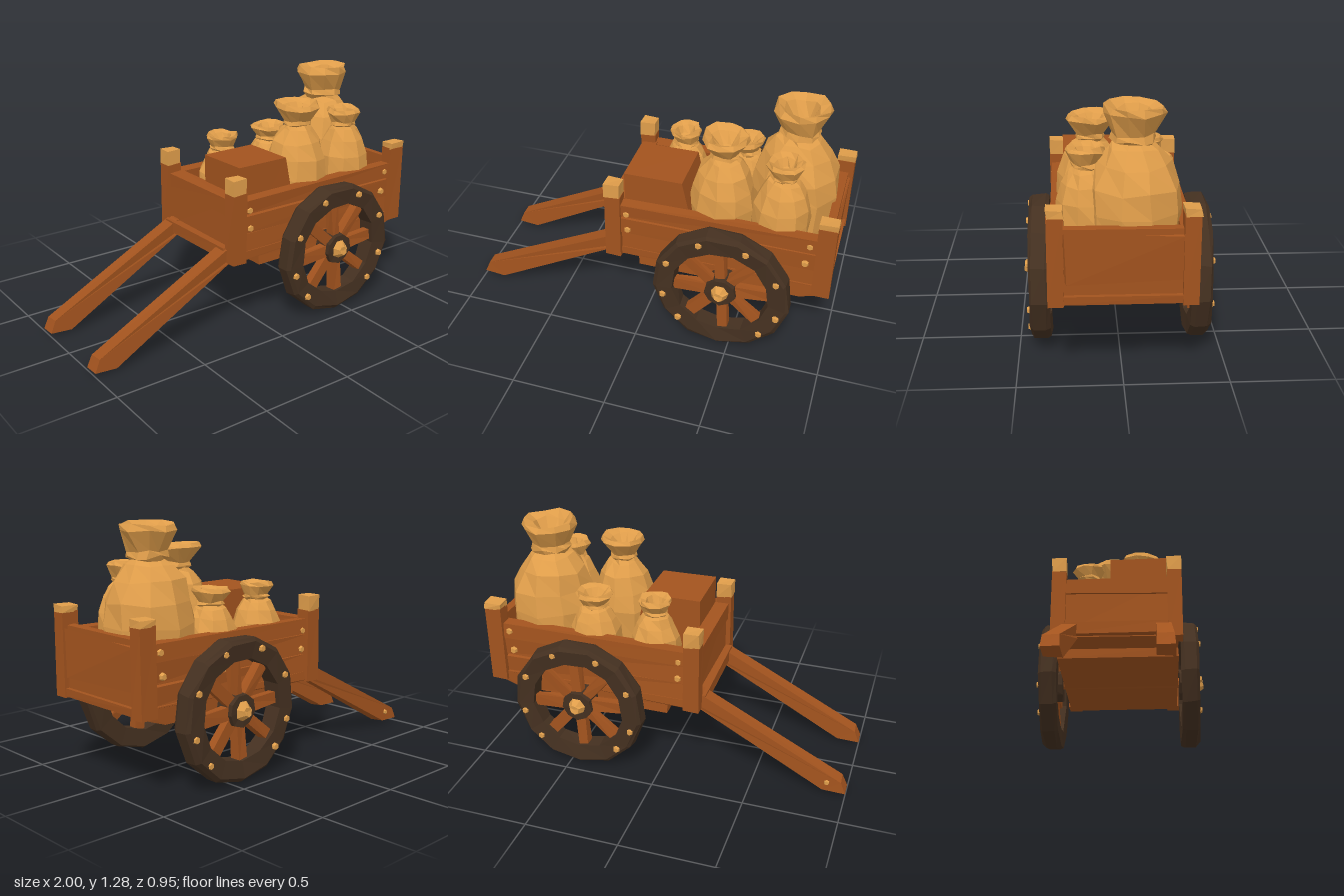
import * as THREE from 'three';

const mat = (name, color) => {
  const m = new THREE.MeshStandardMaterial({ color, flatShading: true });
  m.name = name;
  return m;
};

export function createModel() {
  const wood = mat('reddish wood', 0xa2531e);
  const dark = mat('dark rim wood', 0x443020);
  const tan = mat('tan burlap and pegs', 0xdf9d4a);
  const cart = new THREE.Group();
  cart.name = 'handcart';

  // Hand-hewn look: shift corners by a hash of their position, so shared corners stay together
  const hew = (geo, amount, seed = 1) => {
    const p = geo.attributes.position;
    for (let i = 0; i < p.count; i++) {
      const v = [p.getX(i), p.getY(i), p.getZ(i)];
      const k = v.map((c) => Math.round(c * 1000));
      const out = v.map((c, a) => {
        const s = Math.sin(k[0] * 12.99 + k[1] * 78.23 + k[2] * 37.72 + seed * 5.1 + a * 19.7) * 4375.85;
        return c + (s - Math.floor(s) - 0.5) * 2 * amount;
      });
      p.setXYZ(i, ...out);
    }
    geo.computeVertexNormals();
    return geo;
  };

  const add = (parent, name, geo, material, x = 0, y = 0, z = 0) => {
    const m = new THREE.Mesh(geo, material);
    m.name = name;
    m.position.set(x, y, z);
    parent.add(m);
    return m;
  };

  // Box given by its limits on each axis
  const beam = (name, [x0, x1], [y0, y1], [z0, z1], material = wood, rough = 0.005, seed = 1) =>
    add(cart, name, hew(new THREE.BoxGeometry(x1 - x0, y1 - y0, z1 - z0), rough, seed),
      material, (x0 + x1) / 2, (y0 + y1) / 2, (z0 + z1) / 2);

  // Side outline (x, y) given a width along z
  const slab = (name, outline, width, z, rough) => {
    const shape = new THREE.Shape(outline.map(([x, y]) => new THREE.Vector2(x, y)));
    const geo = new THREE.ExtrudeGeometry(shape, { depth: width, bevelEnabled: false });
    geo.translate(0, 0, -width / 2);
    return add(cart, name, hew(geo, rough), wood, 0, 0, z);
  };

  // Low peg facing along z
  const peg = (parent, name, x, y, z, r = 0.021) => {
    const geo = new THREE.CylinderGeometry(r * 0.7, r, 0.016, 6);
    geo.rotateX(z < 0 ? -Math.PI / 2 : Math.PI / 2);
    return add(parent, name, geo, tan, x, y, z);
  };

  // Bed
  slab('bed', [[-0.03, 0.36], [0.84, 0.36], [0.985, 0.41], [0.985, 0.45], [-0.19, 0.46],
    [-0.19, 0.41], [-0.03, 0.41]], 0.65, 0, 0.003);

  // Side walls, corner posts, pegs and handles
  for (const s of [1, -1]) {
    const zr = (a, b) => (s > 0 ? [a, b] : [-b, -a]);
    beam('sideWall', [-0.15, 0.93], [0.43, 0.735], zr(0.27, 0.3), wood, 0.002);
    beam('lowerPlank', [-0.15, 0.93], [0.44, 0.55], zr(0.28, 0.318), wood, 0.008, 2);
    beam('middlePlank', [-0.15, 0.93], [0.555, 0.66], zr(0.28, 0.324), wood, 0.008, 3);
    beam('topRail', [-0.15, 0.93], [0.665, 0.745], zr(0.265, 0.33), wood, 0.006, 4);

    for (const [x0, x1, seed] of [[-0.208, -0.125, 5], [0.898, 0.992, 6]]) {
      const split = x0 < 0 ? 0.79 : 0.838;
      beam('cornerPost', [x0, x1], [0.405, split], zr(0.27, 0.345), wood, 0.003, seed);
      beam('postCap', [x0, x1], [split - 0.004, 0.868], zr(0.27, 0.345), tan, 0.004, seed);
    }
    for (const [x, y] of [[-0.095, 0.685], [-0.09, 0.585], [0.865, 0.705], [0.85, 0.59]])
      peg(cart, 'wallPeg', x, y, s * 0.33);

    slab('handle', [[-1, 0.02], [-0.975, 0.09], [-0.2, 0.485], [-0.05, 0.475], [-0.05, 0.42],
      [-0.17, 0.405], [-0.88, 0.02]], 0.082, s * 0.245, 0.005);
  }
  peg(cart, 'handlePeg', -0.9, 0.075, -0.287, 0.017);

  // End walls
  beam('frontPanel', [-0.185, -0.13], [0.44, 0.735], [-0.28, 0.28], wood, 0.004, 7);
  beam('frontRail', [-0.2, -0.11], [0.66, 0.745], [-0.28, 0.28], wood, 0.005, 8);
  beam('frontSill', [-0.225, -0.17], [0.415, 0.48], [-0.275, 0.275], wood, 0.006, 11);
  beam('tailPanel', [0.92, 0.962], [0.42, 0.77], [-0.28, 0.28], wood, 0.004, 9);
  beam('tailPlank', [0.95, 0.978], [0.515, 0.745], [-0.27, 0.27], wood, 0.013, 10);

  // Crate, wider at its foot on one side
  const crateGeo = new THREE.BoxGeometry(0.305, 0.45, 0.31);
  const cp = crateGeo.attributes.position;
  for (let i = 0; i < cp.count; i++)
    if (cp.getY(i) < 0 && cp.getX(i) > 0) cp.setX(i, cp.getX(i) + 0.1);
  add(cart, 'crate', hew(crateGeo, 0.004), wood, 0.035, 0.675, 0.115);

  // Wheels
  const pegAngles = [25, 67, 112, 155, 195, 226, -46, -18];
  for (const s of [1, -1]) {
    const wheel = new THREE.Group();
    wheel.name = s > 0 ? 'leftWheel' : 'rightWheel';
    wheel.position.set(0.443, 0.372, 0);
    if (s < 0) wheel.rotation.y = Math.PI;
    cart.add(wheel);

    // Rim cross-section as radius and depth; turned so that the outer face looks along +z
    const section = [[0.258, 0.342], [0.355, 0.34], [0.366, 0.36], [0.364, 0.425], [0.345, 0.442],
      [0.258, 0.434], [0.258, 0.342]].map(([r, h]) => new THREE.Vector2(r, h));
    const rim = new THREE.LatheGeometry(section, 13);
    rim.rotateX(Math.PI / 2);
    add(wheel, 'rim', hew(rim, 0.005, s), dark);

    for (let i = 0; i < 8; i++) {
      const spoke = new THREE.BoxGeometry(0.058, 0.26, 0.045);
      spoke.translate(0, 0.15, 0);
      const m = add(wheel, 'spoke', hew(spoke, 0.006, i), wood, 0, 0, 0.39);
      m.rotation.z = (i + 0.1) * Math.PI / 4;
    }
    const hub = new THREE.CylinderGeometry(0.085, 0.09, 0.1, 9);
    hub.rotateX(Math.PI / 2);
    add(wheel, 'hub', hew(hub, 0.004), dark, 0, 0, 0.385);
    const cap = new THREE.CylinderGeometry(0.025, 0.052, 0.04, 7);
    cap.rotateX(Math.PI / 2);
    add(wheel, 'hubCap', hew(cap, 0.004), tan, 0, 0, 0.452);
    for (const a of pegAngles) {
      const t = THREE.MathUtils.degToRad(a);
      peg(wheel, 'rimPeg', Math.cos(t) * 0.318, Math.sin(t) * 0.318, 0.443);
    }
  }
  const axle = new THREE.CylinderGeometry(0.03, 0.03, 0.7, 8);
  axle.rotateX(Math.PI / 2);
  add(cart, 'axle', axle, wood, 0.443, 0.385, 0);

  // Tied sacks: full belly, pinched neck and open flared mouth
  const sack = (name, x, z, r, neckY, topY, neckR, mouthR, seed) => {
    const base = 0.45, h = neckY - base, f = topY - neckY;
    const pts = [[0, 0], [r * 0.85, 0], [r * 0.98, h * 0.25], [r * 1.02, h * 0.53], [r * 0.95, h * 0.7],
      [r * 0.77, h * 0.86], [neckR * 1.25, h * 0.97], [neckR * 0.95, h], [neckR * 1.15, h + f * 0.1],
      [neckR * 1.05, h + f * 0.25], [mouthR, h + f * 0.8], [mouthR * 0.9, h + f],
      [mouthR * 0.6, h + f * 0.85], [neckR * 0.5, h + f * 0.4], [0, h + f * 0.35]];
    const geo = new THREE.LatheGeometry(pts.map(([a, b]) => new THREE.Vector2(a, b)), 10);
    add(cart, name, hew(geo, r * 0.045, seed), tan, x, base, z);
  };
  sack('largeSack', 0.715, -0.06, 0.228, 1.1, 1.275, 0.095, 0.15, 1);
  sack('tallSack', 0.37, 0.135, 0.17, 1.02, 1.15, 0.065, 0.125, 2);
  sack('smallSack', 0.685, 0.16, 0.15, 0.975, 1.075, 0.065, 0.095, 3);
  sack('middleSack', 0.42, -0.18, 0.14, 0.86, 0.95, 0.065, 0.1, 4);
  sack('frontSack', 0.085, -0.165, 0.135, 0.86, 0.95, 0.06, 0.09, 5);

  return cart;
}
